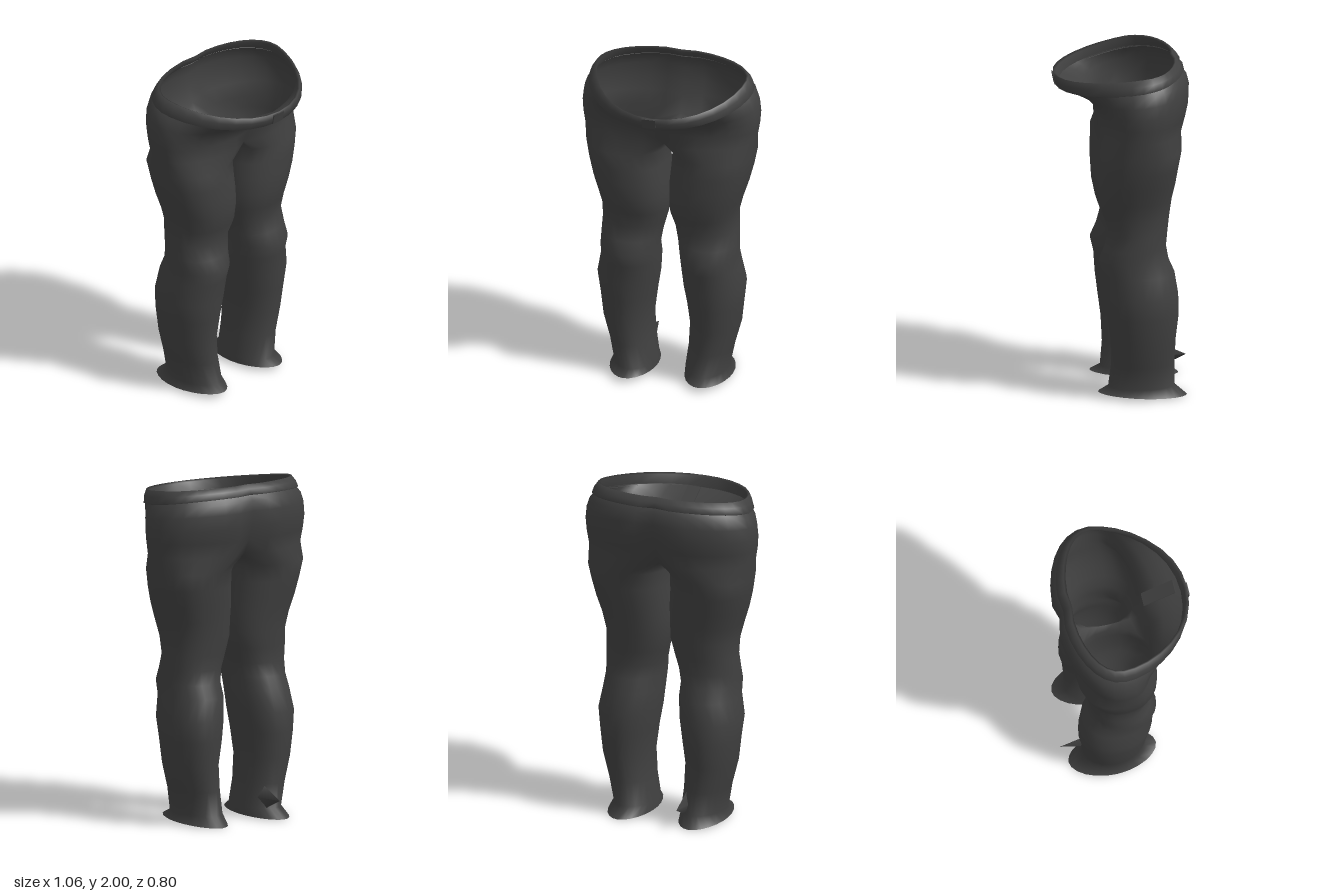
import * as THREE from 'three';
import { mergeGeometries, mergeVertices } from 'three/addons/utils/BufferGeometryUtils.js';

const ARC = 16, RING = 24;
const spow = (v, e) => Math.sign(v) * Math.pow(Math.abs(v), e);

// Joins rows of points into a skin; side -1 mirrors it
function loft(rows, closed, side) {
  const n = rows[0].length, pos = [], idx = [];
  rows.forEach(r => r.forEach(p => pos.push(p[0] * side, p[1], p[2])));
  for (let j = 0; j < rows.length - 1; j++) {
    for (let k = 0; k < (closed ? n : n - 1); k++) {
      const a = j * n + k, b = j * n + (k + 1) % n, c = a + n, d = b + n;
      if (side > 0) idx.push(a, c, b, b, c, d);
      else idx.push(a, b, c, b, d, c);
    }
  }
  const g = new THREE.BufferGeometry();
  g.setAttribute('position', new THREE.Float32BufferAttribute(pos, 3));
  g.setIndex(idx);
  return g;
}

// Leg cross-section, starting at the back of the inner seam; rounder towards the ankle
function legRing([y, xi, xo, zf, zb, tilt = 0]) {
  const e = THREE.MathUtils.lerp(1.06, 0.88, Math.min(1, y / 1.3));
  return Array.from({ length: RING }, (_, k) => {
    const t = (-120 + 15 * k) * Math.PI / 180;
    const c = spow(Math.cos(t), e), s = spow(Math.sin(t), e);
    return [(xi + xo) / 2 + c * (xo - xi) / 2, y + tilt * s, (zf + zb) / 2 + s * (zf - zb) / 2];
  });
}

// Half of a hip cross-section, from back centre to front centre
function hipArc([yF, yS, yB, w, zf, zb, ef, cleft, frontCleft = 0]) {
  const cz = -0.08;
  return Array.from({ length: ARC + 1 }, (_, k) => {
    const t = (k / ARC - 0.5) * Math.PI, s = Math.sin(t);
    const front = s > 0, m = Math.pow(Math.abs(s), front ? ef : 0.92);
    const x = k % ARC === 0 ? 0 : w * Math.pow(Math.cos(t), 0.97);
    const dip = Math.exp(-Math.pow(x / 0.07, 2));
    const z = cz + m * ((front ? zf : zb) - cz) + dip * (front ? -frontCleft : cleft);
    return [x, yS + m * ((front ? yF : yB) - yS), z];
  });
}

// y, inner x, outer x, front z, back z, tilt
const LEG = [
  [0.015, 0.085, 0.365, 0.16, -0.36, 0.015],
  [0.06, 0.087, 0.342, 0.1, -0.29],
  [0.2, 0.105, 0.37, 0.085, -0.285],
  [0.35, 0.113, 0.41, 0.09, -0.29],
  [0.5, 0.095, 0.425, 0.11, -0.308],
  [0.62, 0.075, 0.44, 0.125, -0.305],
  [0.75, 0.065, 0.415, 0.135, -0.285],
  [0.83, 0.065, 0.41, 0.155, -0.25],
  [0.91, 0.052, 0.408, 0.12, -0.236],
  [1.0, 0.03, 0.405, 0.097, -0.245],
  [1.1, 0.002, 0.405, 0.13, -0.258],
  [1.2, 0.001, 0.43, 0.15, -0.27],
  [1.3, 0.003, 0.462, 0.155, -0.29],
  [1.4, 0.012, 0.487, 0.153, -0.305],
  [1.5, 0.016, 0.505, 0.15, -0.322],
];

// front y, side y, back y, half width, front z, back z, front roundness, back cleft, front cleft
const HIP = [
  [1.59, 1.6, 1.59, 0.512, 0.152, -0.348, 0.8, 0.07, 0.05],
  [1.68, 1.68, 1.68, 0.525, 0.158, -0.372, 0.82, 0.05, 0.02],
  [1.74, 1.75, 1.76, 0.53, 0.18, -0.39, 0.9, 0.04, 0.01],
  [1.79, 1.82, 1.85, 0.522, 0.235, -0.393, 1, 0.03],
  [1.82, 1.87, 1.91, 0.505, 0.31, -0.378, 1.12, 0.025],
  [1.84, 1.9, 1.94, 0.482, 0.375, -0.353, 1.2, 0.02],
];
const BAND = [
  [1.83, 1.895, 1.935, 0.48, 0.37, -0.348, 1.2, 0.02],
  [1.835, 1.902, 1.945, 0.492, 0.385, -0.36, 1.2, 0.02],
  [1.872, 1.942, 1.973, 0.478, 0.397, -0.342, 1.2, 0.02],
  [1.908, 1.977, 1.998, 0.455, 0.398, -0.315, 1.2, 0.015],
  [1.9, 1.97, 1.99, 0.442, 0.38, -0.302, 1.2, 0.015],
  [1.85, 1.91, 1.945, 0.462, 0.36, -0.335, 1.2, 0.015],
];

const smooth = parts => {
  const g = mergeVertices(mergeGeometries(parts), 1e-4);
  g.computeVertexNormals();
  return g;
};

export function createModel() {
  const group = new THREE.Group();
  const cloth = new THREE.MeshStandardMaterial({ color: 0x404040, side: THREE.DoubleSide });
  cloth.name = 'charcoalCloth';
  const add = (name, geometry) => {
    const mesh = new THREE.Mesh(geometry, cloth);
    mesh.name = name;
    group.add(mesh);
    return mesh;
  };

  // Both legs and the hips, welded along the crotch seam
  const hips = HIP.map(hipArc);
  const arc = hips[0], back = arc[0], front = arc[ARC];
  const crotch = [...arc];
  for (let i = 1; i < RING - ARC; i++) {
    const u = i / (RING - ARC);
    crotch.push([0, THREE.MathUtils.lerp(front[1], back[1], u) - 0.035 * Math.sin(Math.PI * u),
      THREE.MathUtils.lerp(front[2], back[2], u)]);
  }
  const legs = [...LEG.map(legRing), crotch];
  add('trousers', smooth([1, -1].flatMap(s => [loft(legs, true, s), loft(hips, false, s)])));

  // Waistband folded over the top edge
  const band = BAND.map(hipArc);
  add('waistband', smooth([1, -1].map(s => loft(band, false, s))));

  // Overlapping front tab and the fly facing behind it
  const tab = add('waistbandTab', new THREE.BoxGeometry(0.08, 0.064, 0.008));
  tab.position.set(-0.01, 1.87, 0.392);
  tab.rotation.x = 0.2;
  const fly = add('flyFacing', new THREE.BoxGeometry(0.08, 0.008, 0.22));
  fly.position.set(0.04, 1.797, 0.235);
  fly.rotation.x = -0.55;

  // Stray fold of cloth at the back of the right ankle
  const fold = add('ankleFold', new THREE.ConeGeometry(0.08, 0.17, 4).rotateX(-Math.PI / 2));
  fold.scale.x = 0.4;
  fold.position.set(-0.165, 0.122, -0.313);

  return group;
}
